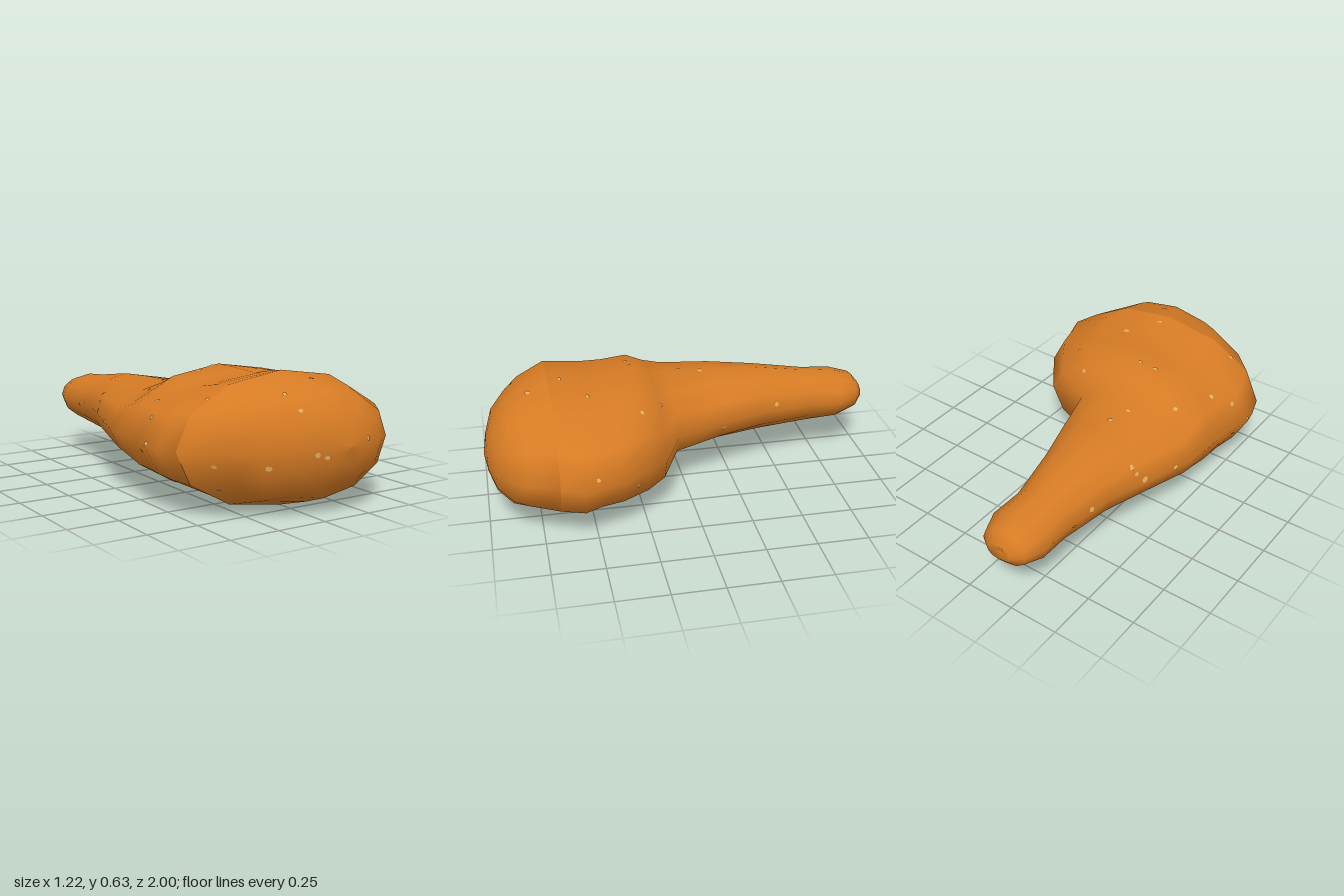
import * as THREE from 'three';

const SIDES = 12;

// Joins twelve-sided elliptical sections [z, xMin, xMax, yMin, yMax] into a smooth skin
function loft(sections) {
  const pos = [], index = [];
  for (const [z, x0, x1, y0, y1] of sections) {
    for (let j = 0; j < SIDES; j++) {
      const a = (j / SIDES) * Math.PI * 2;
      pos.push((x0 + x1) / 2 + Math.cos(a) * (x1 - x0) / 2,
        (y0 + y1) / 2 + Math.sin(a) * (y1 - y0) / 2, z);
    }
  }
  for (let i = 0; i < sections.length - 1; i++) {
    for (let j = 0; j < SIDES; j++) {
      const a = i * SIDES + j, b = i * SIDES + (j + 1) % SIDES;
      index.push(a, b, a + SIDES, b, b + SIDES, a + SIDES);
    }
  }
  const g = new THREE.BufferGeometry();
  g.setAttribute('position', new THREE.Float32BufferAttribute(pos, 3));
  g.setIndex(index);
  g.computeVertexNormals();
  return g;
}

export function createModel() {
  const group = new THREE.Group();
  const crust = new THREE.MeshStandardMaterial({ name: 'fried crust', color: 0xd67b24 });
  const crumb = new THREE.MeshStandardMaterial({ name: 'pale crumb', color: 0xe0ad62 });

  // Shared section where the leg meets the rounded end
  const seam = [0.67, -0.56, 0.555, 0.005, 0.633];

  // Leg: dimpled tip, narrow shank, lopsided thigh
  const leg = new THREE.Mesh(loft([
    [-0.985, -0.2, -0.2, 0.32, 0.32],
    [-1, -0.26, -0.13, 0.28, 0.36],
    [-0.96, -0.32, -0.075, 0.23, 0.41],
    [-0.86, -0.355, -0.035, 0.195, 0.44],
    [-0.7, -0.35, -0.045, 0.18, 0.455],
    [-0.43, -0.4, 0.01, 0.168, 0.495],
    [-0.2, -0.48, 0.085, 0.155, 0.51],
    [0.05, -0.55, 0.17, 0.12, 0.515],
    [0.15, -0.56, 0.385, 0.07, 0.565],
    [0.24, -0.565, 0.455, 0.025, 0.615],
    [0.37, -0.585, 0.55, 0.037, 0.603],
    [0.48, -0.61, 0.585, 0.04, 0.597],
    [0.56, -0.595, 0.61, 0.02, 0.615],
    seam,
  ]), crust);
  leg.name = 'leg';

  // Rounded meaty end, with a hard edge at the seam
  const end = new THREE.Mesh(loft([
    seam,
    [0.81, -0.42, 0.5, 0.045, 0.595],
    [0.88, -0.28, 0.45, 0.07, 0.565],
    [0.95, -0.16, 0.36, 0.14, 0.495],
    [0.985, 0.01, 0.24, 0.235, 0.405],
    [1, 0.14, 0.14, 0.32, 0.32],
  ]), crust);
  end.name = 'roundedEnd';
  group.add(leg, end);

  // Crumbs: tiny flakes dropped onto the skin from each side
  const crumbs = new THREE.Group();
  crumbs.name = 'crumbs';
  const sides = [
    { from: (x, z) => [x, 2, z], dir: [0, -1, 0], at: [[-0.21, -0.02], [-0.18, -0.13],
      [-0.41, -0.28], [0.17, 0.14], [-0.1, 0.25], [-0.18, 0.26], [0.28, 0.25], [-0.46, 0.35],
      [0.15, 0.49], [-0.39, 0.66], [0.02, 0.61], [0.09, 0.77], [-0.11, 0.84]] },
    { from: (x, y) => [x, y, 2], dir: [0, 0, -1], at: [[-0.08, 0.49], [-0.03, 0.3],
      [0.02, 0.285], [0.25, 0.345], [-0.43, 0.26], [-0.23, 0.25], [-0.38, 0.145]] },
    { from: (z, y) => [-2, y, z], dir: [1, 0, 0], at: [[0.49, 0.33], [0.43, 0.43],
      [0.4, 0.28], [0.14, 0.5], [-0.06, 0.33], [-0.24, 0.35], [-0.27, 0.39], [-0.55, 0.34],
      [-0.66, 0.31]] },
    { from: (z, y) => [2, y, z], dir: [-1, 0, 0], at: [[0.5, 0.36], [0.3, 0.25],
      [-0.2, 0.3], [-0.5, 0.36]] },
    { from: (x, z) => [x, -2, z], dir: [0, 1, 0], at: [[0.2, 0.45], [-0.3, 0.3],
      [-0.2, -0.35], [-0.2, -0.6], [0.05, 0.7]] },
  ];
  const flake = new THREE.CircleGeometry(0.016, 6);
  const ray = new THREE.Raycaster();
  for (const { from, dir, at } of sides) {
    at.forEach(([u, v], k) => {
      ray.set(new THREE.Vector3(...from(u, v)), new THREE.Vector3(...dir));
      const hit = ray.intersectObjects([leg, end])[0];
      if (!hit) return;
      const m = new THREE.Mesh(flake, crumb);
      m.name = 'crumb';
      m.quaternion.setFromUnitVectors(new THREE.Vector3(0, 0, 1), hit.face.normal);
      m.position.copy(hit.point).addScaledVector(hit.face.normal, 0.004);
      m.scale.set(0.7 + 0.2 * (k % 3), 0.6 + 0.2 * (k % 2), 1);
      crumbs.add(m);
    });
  }
  group.add(crumbs);
  return group;
}
